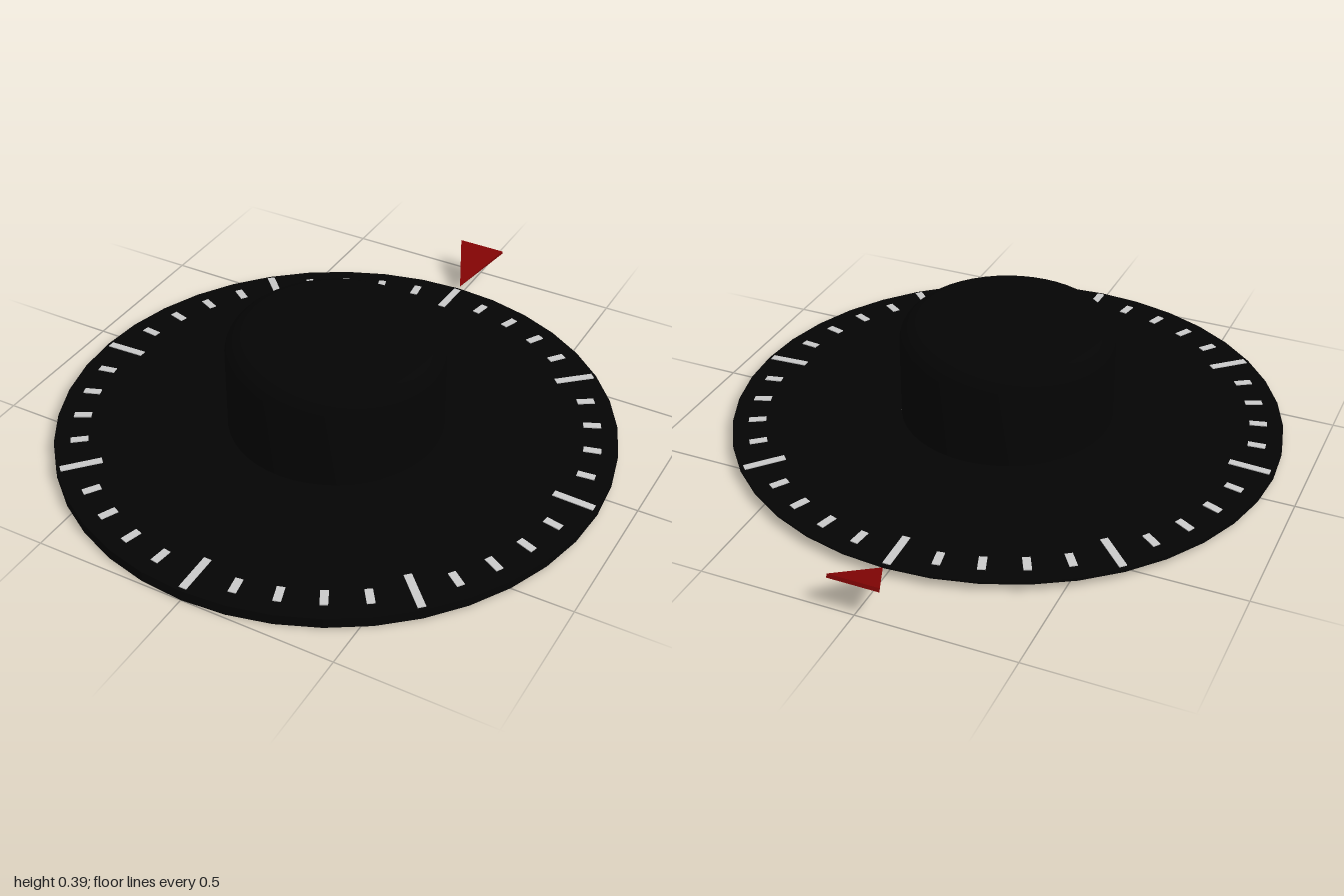
import * as THREE from 'three';
import { toCreasedNormals } from 'three/addons/utils/BufferGeometryUtils.js';

const RADIUS = 0.905, CENTRE_Z = 0.095, SIDES = 40;
const KNOB_R = 0.35, KNOB_BASE = 0.057, KNOB_TOP = 0.39, KNOB_ROUND = 0.07;

const side = THREE.DoubleSide;
const black = new THREE.MeshStandardMaterial({ color: 0x040404, side });
const blackFlat = new THREE.MeshStandardMaterial({ color: 0x040404, side, flatShading: true });
const grey = new THREE.MeshStandardMaterial({ color: 0xcccccc, side });
const red = new THREE.MeshStandardMaterial({ color: 0x860404 });

// Plate: a shallow cone on top, its skirt cut off by a slightly tilted plane
const topY = (r) => KNOB_BASE - 0.022 * (r - KNOB_R) / (RADIUS - KNOB_R);
const bottomY = (z) => 0.0145 - 0.016 * z;

const v2 = (x, y) => new THREE.Vector2(x, y);

function add(parent, name, geometry, material) {
  const mesh = new THREE.Mesh(geometry, material);
  mesh.name = name;
  parent.add(mesh);
  return mesh;
}

// Conical shell, open underneath, with a rim skirt of varying depth
function plateGeometry() {
  const g = new THREE.LatheGeometry(
    [v2(RADIUS, 0), v2(RADIUS, topY(RADIUS)), v2(KNOB_R, KNOB_BASE)], SIDES);
  const p = g.attributes.position;
  for (let i = 0; i < p.count; i++) {
    if (p.getY(i) === 0) p.setY(i, bottomY(p.getZ(i)));
  }
  return g;
}

// Hollow cup with a rounded top edge
function knobGeometry() {
  const profile = [v2(KNOB_R, KNOB_BASE - 0.004)];
  for (let i = 0; i <= 8; i++) {
    const a = (i / 8) * Math.PI / 2;
    profile.push(v2(KNOB_R - KNOB_ROUND * (1 - Math.cos(a)), KNOB_TOP - KNOB_ROUND * (1 - Math.sin(a))));
  }
  profile.push(v2(0, KNOB_TOP));
  return toCreasedNormals(new THREE.LatheGeometry(profile, 48), 0.6);
}

// One scale mark: flush on the cone, its walls reaching down inside, open below
function markGeometry(inner, outer, width, angle) {
  const g = new THREE.BoxGeometry(width, 1, outer - inner);
  g.translate(0, 0, -(inner + outer) / 2);
  const index = Array.from(g.index.array);
  index.splice(18, 6);
  g.setIndex(index);
  const p = g.attributes.position;
  const radii = Array.from({ length: p.count }, (_, i) => -p.getZ(i));
  g.rotateY(-angle);
  for (let i = 0; i < p.count; i++) {
    p.setY(i, p.getY(i) > 0 ? topY(radii[i]) + 0.003 : bottomY(p.getZ(i)));
  }
  g.computeVertexNormals();
  return g;
}

// Thin triangle that thickens from its tip to its base
function pointerGeometry(length, halfWidth, thickness) {
  const triangle = new THREE.Shape([v2(0, 0), v2(halfWidth, length), v2(-halfWidth, length)]);
  const g = new THREE.ExtrudeGeometry(triangle, { depth: thickness, bevelEnabled: false });
  const p = g.attributes.position;
  for (let i = 0; i < p.count; i++) p.setZ(i, p.getZ(i) * (0.15 + 0.85 * p.getY(i) / length));
  g.computeVertexNormals();
  return g;
}

export function createModel() {
  const model = new THREE.Group();
  model.name = 'dial';

  const dial = new THREE.Group();
  dial.name = 'dialBody';
  dial.position.z = CENTRE_Z;
  model.add(dial);

  add(dial, 'plate', plateGeometry(), blackFlat);
  add(dial, 'knob', knobGeometry(), black);

  // Scale: forty marks, every fifth one long
  const scale = new THREE.Group();
  scale.name = 'scale';
  dial.add(scale);
  for (let i = 0; i < 40; i++) {
    const angle = (i / 40) * Math.PI * 2;
    const major = i % 5 === 0;
    const g = major ? markGeometry(0.76, 0.893, 0.025, angle) : markGeometry(0.795, 0.852, 0.025, angle);
    add(scale, major ? 'longMark' : 'shortMark', g, grey);
  }

  // Pointer rising away from the rim
  const pointer = add(model, 'pointer', pointerGeometry(0.192, 0.083, 0.012), red);
  pointer.rotation.x = -Math.PI / 2 + 0.365;
  pointer.position.set(0, 0.038, -0.82);

  return model;
}
